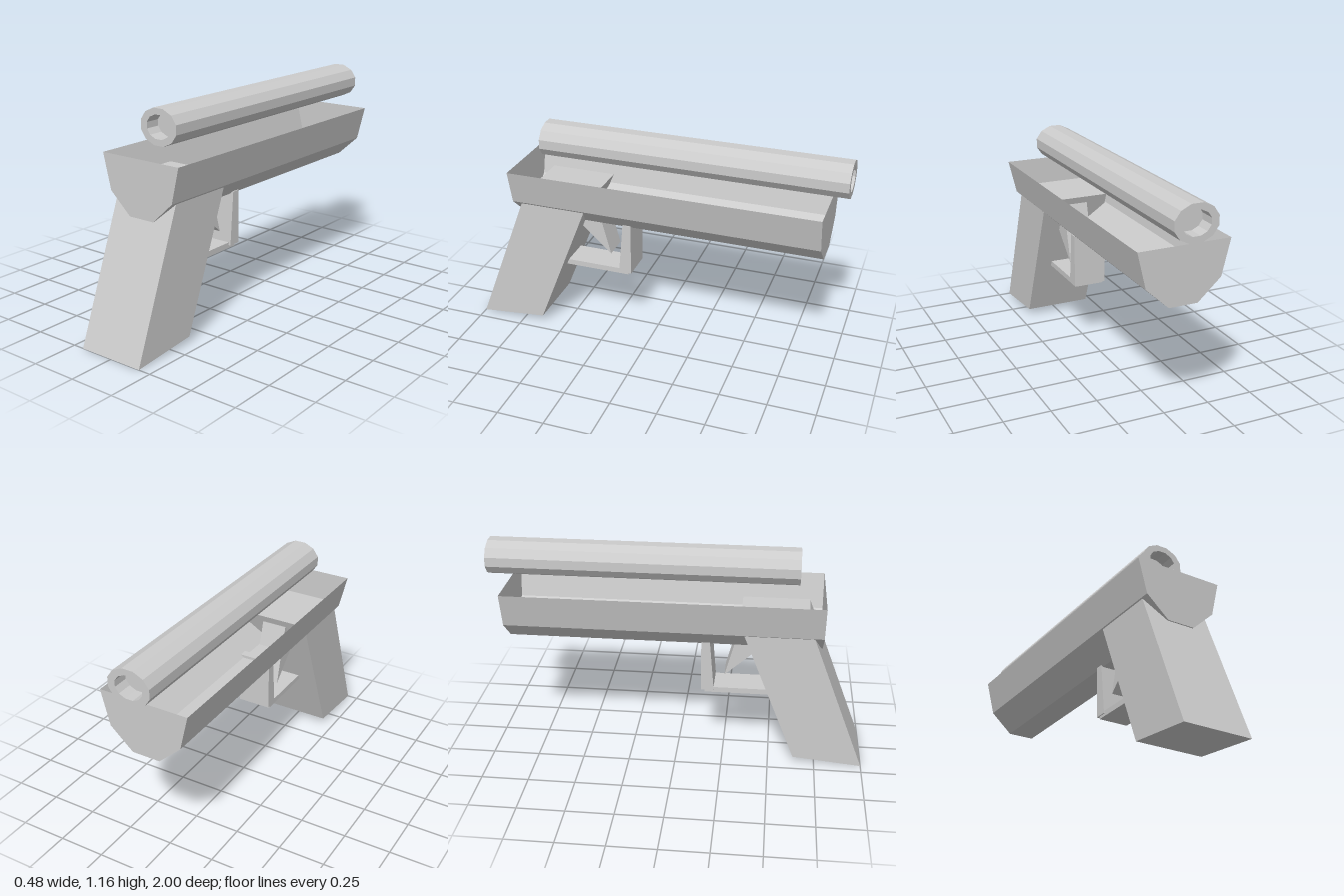
import * as THREE from 'three';

const material = new THREE.MeshStandardMaterial({
  color: 0xcccccc, flatShading: true, side: THREE.DoubleSide,
});

function part(name, geometry) {
  const mesh = new THREE.Mesh(geometry, material);
  mesh.name = name;
  return mesh;
}

const toVectors = (points) => points.map(([a, b]) => new THREE.Vector2(a, b));

// Prism from a (z, y) side outline, spanning x0 to x1
function sidePrism(name, outline, x0, x1) {
  const geometry = new THREE.ExtrudeGeometry(new THREE.Shape(toVectors(outline)), {
    depth: x1 - x0, bevelEnabled: false,
  });
  geometry.rotateY(-Math.PI / 2).translate(x1, 0, 0);
  return part(name, geometry);
}

// Twelve-sided oval with a flat top
function oval(rx, ry) {
  return Array.from({ length: 12 }, (_, i) => {
    const a = ((i + 0.5) / 12) * Math.PI * 2;
    return new THREE.Vector2(rx * Math.cos(a), ry * Math.sin(a));
  });
}

// Open-topped trough: folded walls plus two end plates
function createFrame() {
  const profile = [
    [-0.24, 0.935], [-0.195, 0.75], [-0.075, 0.64],
    [0.075, 0.64], [0.195, 0.75], [0.24, 0.935],
  ];
  const back = -0.905, front = 0.76;
  const frame = new THREE.Group();
  frame.name = 'frame';

  const positions = [];
  for (let i = 0; i < profile.length - 1; i++) {
    const [ax, ay] = profile[i], [bx, by] = profile[i + 1];
    positions.push(ax, ay, back, bx, by, back, bx, by, front);
    positions.push(ax, ay, back, bx, by, front, ax, ay, front);
  }
  const walls = new THREE.BufferGeometry();
  walls.setAttribute('position', new THREE.Float32BufferAttribute(positions, 3));
  walls.computeVertexNormals();
  frame.add(part('frameWalls', walls));

  const plate = new THREE.ShapeGeometry(new THREE.Shape(toVectors(profile)));
  frame.add(part('frameFrontPlate', plate.clone().translate(0, 0, front)));
  frame.add(part('frameBackPlate', plate.clone().rotateY(Math.PI).translate(0, 0, back)));
  return frame;
}

// Floating tube with a shallow recess at both ends
function createBarrel() {
  const back = -1, front = 0.625, recess = 0.08;
  const barrel = new THREE.Group();
  barrel.name = 'barrel';
  barrel.position.y = 1.065;

  const ring = new THREE.Shape(oval(0.116, 0.095));
  ring.holes.push(new THREE.Path(oval(0.076, 0.062)));
  const tube = new THREE.ExtrudeGeometry(ring, { depth: front - back, bevelEnabled: false });
  barrel.add(part('barrelTube', tube.translate(0, 0, back)));

  const floor = new THREE.ShapeGeometry(new THREE.Shape(oval(0.076, 0.062)));
  barrel.add(part('frontBoreFloor', floor.clone().translate(0, 0, front - recess)));
  barrel.add(part('backBoreFloor', floor.clone().rotateY(Math.PI).translate(0, 0, back + recess)));
  return barrel;
}

export function createModel() {
  const model = new THREE.Group();
  model.name = 'model';
  model.add(createFrame(), createBarrel());

  // Slanted handle reaching up into the frame
  model.add(sidePrism('grip', [[1, 0], [0.69, 0.805], [0.33, 0.805], [0.635, 0.035]], -0.19, 0.182));

  // Wedge trigger and the guard around it
  model.add(sidePrism('trigger', [[0.25, 0.455], [0.335, 0.77], [0.5, 0.7], [0.41, 0.6]], -0.07, 0.07));
  model.add(sidePrism('guardPost', [[0.195, 0.365], [0.17, 0.655], [0.125, 0.655], [0.125, 0.365]], -0.085, 0.097));
  model.add(sidePrism('guardBar', [[0.145, 0.35], [0.145, 0.38], [0.56, 0.38], [0.56, 0.35]], -0.08, 0.085));
  return model;
}
